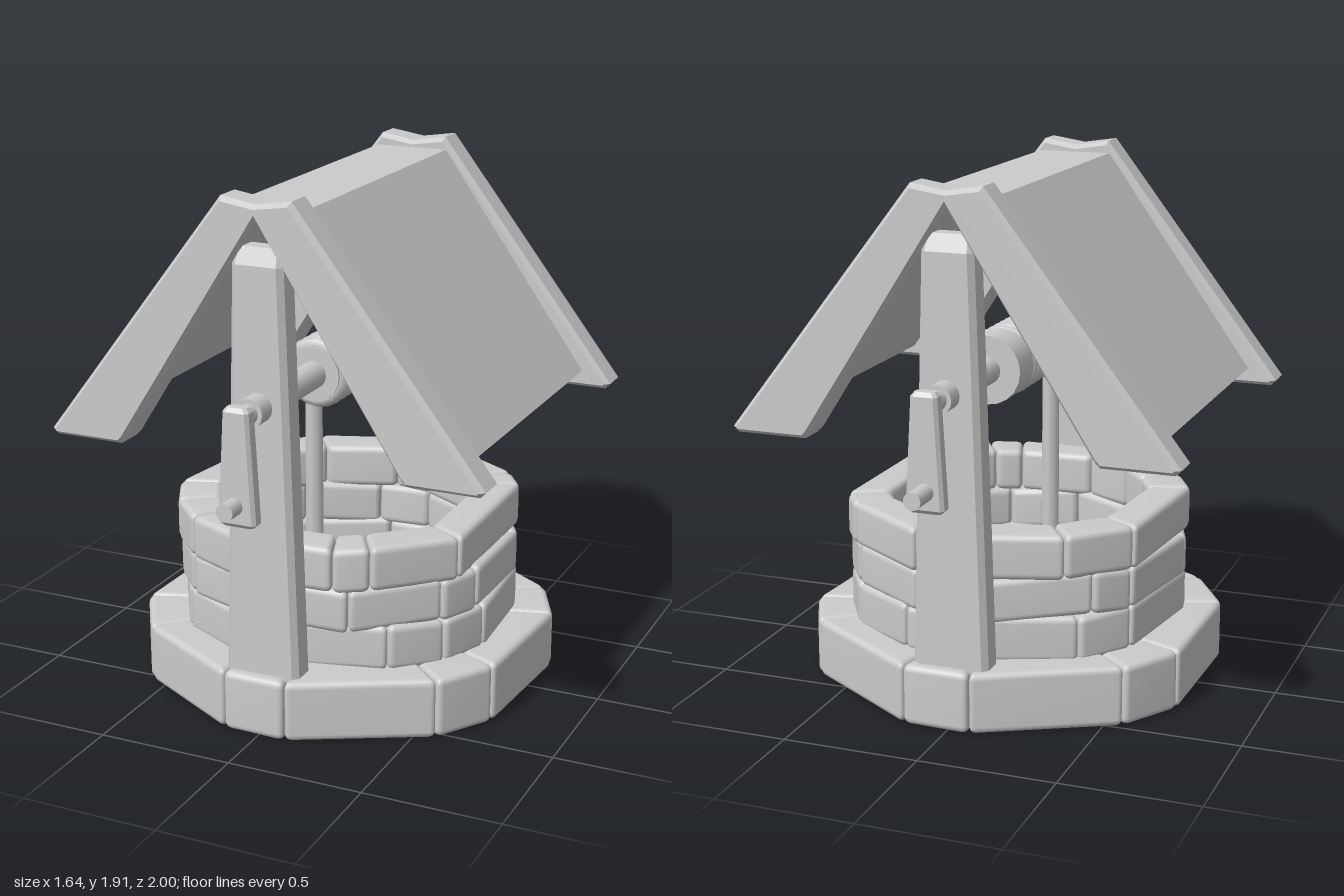
import * as THREE from 'three';
import { mergeVertices } from 'three/addons/utils/BufferGeometryUtils.js';
import { RoundedBoxGeometry } from 'three/addons/geometries/RoundedBoxGeometry.js';
import { ConvexGeometry } from 'three/addons/geometries/ConvexGeometry.js';

const material = new THREE.MeshStandardMaterial({ color: 0xcccccc });
const flat = new THREE.MeshStandardMaterial({ color: 0xcccccc, flatShading: true });
const CZ = 0.02; // middle of the well along z

function add(parent, name, geometry, mat = material) {
  const mesh = new THREE.Mesh(geometry, mat);
  mesh.name = name;
  parent.add(mesh);
  return mesh;
}

// Rounded wedge stone between two angles (degrees, from +z towards +x)
function stoneGeometry(a0, a1, rIn, rOut, y0, y1, tilt) {
  const half = THREE.MathUtils.degToRad((a1 - a0) / 2);
  const mid = THREE.MathUtils.degToRad((a0 + a1) / 2);
  const width = 2 * rOut * Math.sin(half), height = y1 - y0;
  const zOut = rOut * Math.cos(half), zIn = rIn * Math.cos(half);
  let g = new RoundedBoxGeometry(width, height, zOut - zIn, 2, 0.026);
  g.deleteAttribute('normal');
  g.deleteAttribute('uv');
  const p = g.attributes.position;
  for (let i = 0; i < p.count; i++) {
    const z = p.getZ(i) + (zOut + zIn) / 2;
    const u = p.getX(i) / width;
    p.setXYZ(i, p.getX(i) * z / zOut, p.getY(i) + u * tilt, z);
  }
  g = mergeVertices(g, 1e-4);
  g.computeVertexNormals();
  g.rotateY(mid);
  g.translate(0.01, (y0 + y1) / 2, CZ);
  return g;
}

function stoneRing(parent, name, angles, rIn, rOut, y0, y1, tilt) {
  const ring = new THREE.Group();
  ring.name = name;
  angles.forEach((a, i) => {
    const b = i + 1 < angles.length ? angles[i + 1] : angles[0] + 360;
    add(ring, 'stone', stoneGeometry(a, b, rIn, rOut, y0, y1, tilt * Math.sin(i * 2.3)));
  });
  parent.add(ring);
}

// Chamfered timber from sections [y, half width, half depth, chamfer]
function timber(sections) {
  const points = [];
  for (const [y, w, d, c] of sections)
    for (const sx of [-1, 1]) for (const sz of [-1, 1])
      points.push(new THREE.Vector3(sx * w, y, sz * (d - c)), new THREE.Vector3(sx * (w - c), y, sz * d));
  return new ConvexGeometry(points);
}

// Cylinder along z between two depths
function rod(parent, name, r, z0, z1, x, y, sides = 16) {
  const g = new THREE.CylinderGeometry(r, r, Math.abs(z1 - z0), sides).rotateX(Math.PI / 2);
  add(parent, name, g).position.set(x, y, (z0 + z1) / 2);
}

// Outline mirrored in x: right-hand points from the top centre down and back up
function mirroredShape(points) {
  const mirrored = points.filter(([x]) => x > 0).map(([x, y]) => [-x, y]).reverse();
  return new THREE.Shape([...points, ...mirrored].map(([x, y]) => new THREE.Vector2(x, y)));
}

export function createModel() {
  const well = new THREE.Group();
  well.name = 'well';

  // Stonework
  stoneRing(well, 'baseRing', [-11, 7, 48, 66, 106, 125, 168, 187, 229, 248, 290, 312], 0.5, 0.775, 0.01, 0.235, 0);
  stoneRing(well, 'lowerWall', [-44, -10, 37, 57, 75, 112, 131, 160, 185, 220, 240, 285], 0.48, 0.635, 0.22, 0.39, 0.012);
  stoneRing(well, 'middleWall', [-58, -40, -8, 24, 56, 71, 112, 132, 165, 190, 225, 240, 280], 0.48, 0.635, 0.38, 0.54, 0.02);
  stoneRing(well, 'upperWall', [-15, 19, 31, 62, 118, 130, 165, 182, 215, 240, 288, 305, 322], 0.48, 0.645, 0.53, 0.695, 0.008);

  // Posts, gable beams and cranks at both ends
  const gable = mirroredShape([[0, 1.905], [0.13, 1.925], [0.82, 1.03], [0.8, 1.01], [0.54, 1.01], [0.52, 1.03], [0, 1.85]]);
  for (const s of [1, -1]) {
    const end = new THREE.Group();
    end.name = s > 0 ? 'frontEnd' : 'backEnd';
    add(end, 'post', timber([[0.22, 0.14, 0.056, 0.02], [1.7, 0.095, 0.056, 0.02], [1.76, 0.085, 0.03, 0.015]]), flat)
      .position.z = CZ + s * 0.669;
    const beam = new THREE.ExtrudeGeometry(gable, {
      depth: 0.1, bevelEnabled: true, bevelSegments: 1, bevelThickness: 0.021, bevelSize: 0.015, bevelOffset: -0.015,
    });
    add(end, 'gableBeam', beam.translate(0, 0, -0.05), flat).position.z = CZ + s * 0.663;

    const arm = timber([[0.848, 0.055, 0.018, 0.01], [0.862, 0.07, 0.03, 0.012], [1.25, 0.048, 0.03, 0.012], [1.265, 0.036, 0.018, 0.01]]);
    add(end, 'crankArm', arm, flat).position.set(0.01, 0, CZ + s * 0.88);
    rod(end, 'axleCollar', 0.052, CZ + s * 0.7, CZ + s * 0.8, 0.005, 1.215);
    rod(end, 'crankHandle', 0.031, CZ + s * 0.86, s, 0.005, 0.925);
    well.add(end);
  }

  // Roof covering: one thin folded sheet with a flat ridge
  const roof = mirroredShape([[0.14, 1.88], [0.713, 1.075], [0.69, 1.055], [0.125, 1.855]]);
  const sheet = new THREE.ExtrudeGeometry(roof, { depth: 1.22, bevelEnabled: false });
  add(well, 'roof', sheet, flat).position.z = CZ - 0.61;

  // Windlass: axle, drum ends, rope coils and hanging rope
  rod(well, 'axle', 0.036, CZ - 0.86, CZ + 0.86, 0.005, 1.215);
  rod(well, 'axleSleeve', 0.05, CZ - 0.6, CZ + 0.6, 0.005, 1.215);
  rod(well, 'drum', 0.1, -0.25, 0.32, 0.005, 1.215, 20);
  rod(well, 'drumEnd', 0.125, -0.32, -0.18, 0.005, 1.215, 20);
  for (let i = 0; i < 9; i++)
    add(well, 'ropeCoil', new THREE.TorusGeometry(0.1, 0.03, 8, 20)).position.set(0.005, 1.215, -0.15 + i * 0.054);
  add(well, 'hangingRope', new THREE.CylinderGeometry(0.032, 0.036, 0.92, 8)).position.set(-0.05, 0.75, 0.2);

  return well;
}
